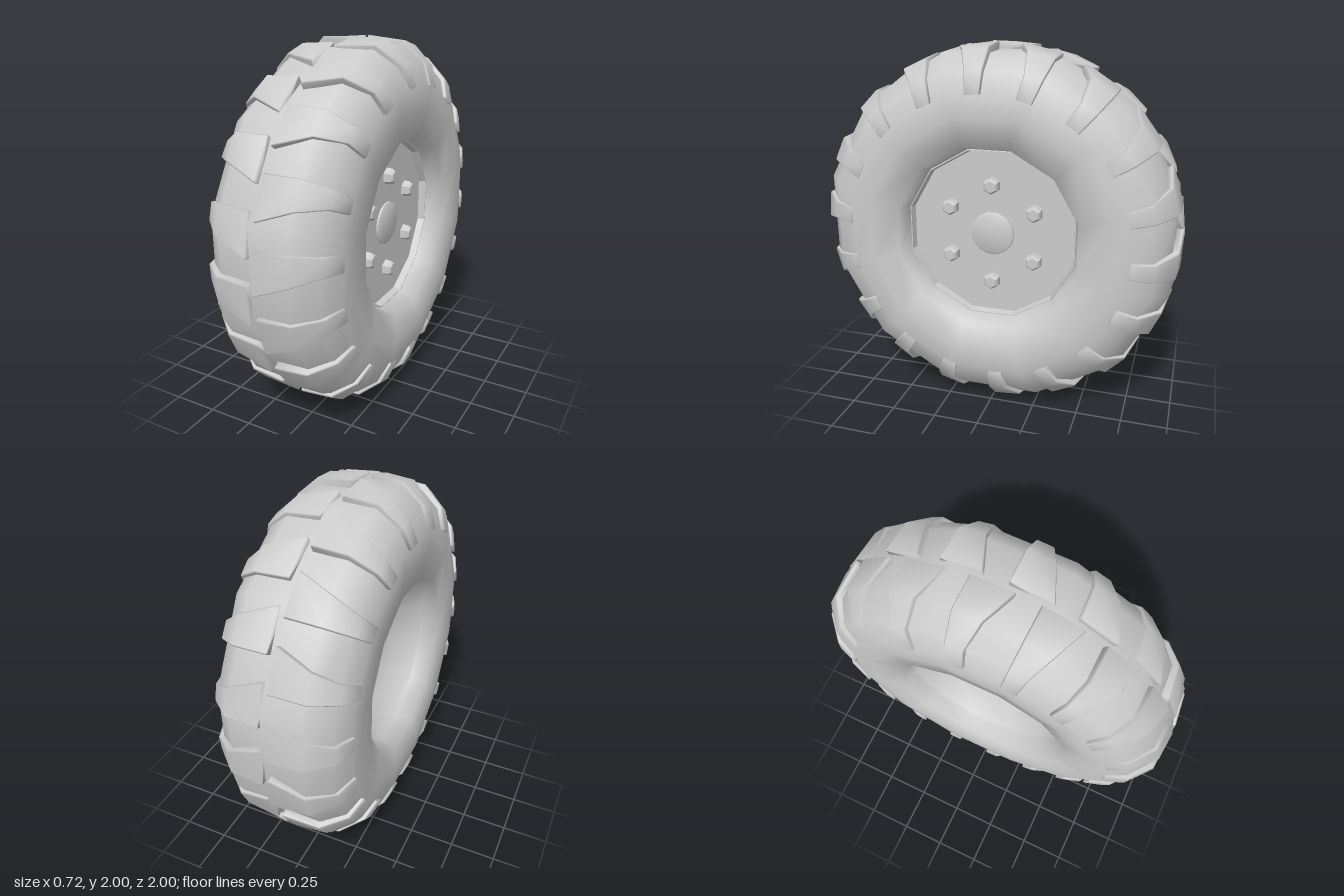
import * as THREE from 'three';
import { toCreasedNormals } from 'three/addons/utils/BufferGeometryUtils.js';

const RAD = Math.PI / 180;
const grey = new THREE.MeshStandardMaterial({ color: 0xcccccc });

// Turned part around the x axis; profile points are [x, radius]
function turned(name, profile, sides, phase, crease) {
  const points = profile.map(([x, r]) => new THREE.Vector2(r, x));
  let geometry = new THREE.LatheGeometry(points, sides, phase);
  geometry.rotateZ(-Math.PI / 2);
  if (crease) geometry = toCreasedNormals(geometry, crease);
  const mesh = new THREE.Mesh(geometry, grey);
  mesh.name = name;
  return mesh;
}

// Lug sections from tread centre to sidewall:
// x, radius, surface normal (x, radial), start and end angle in degrees
const LUG = [
  { x: 0.018, r: 1.0, nx: 0.03, nr: 1, a0: -3.7, a1: 9.2 },
  { x: 0.2, r: 0.985, nx: 0.4, nr: 0.92, a0: 0.5, a1: 9.4 },
  { x: 0.32, r: 0.88, nx: 0.87, nr: 0.5, a0: 2.9, a1: 9.3 },
  { x: 0.362, r: 0.765, nx: 1, nr: 0.1, a0: 2.7, a1: 8.9 },
];

function lugGeometry(side) {
  const positions = [];
  const index = [];
  const N = 6;
  for (const s of LUG) {
    // base, bevel, top, top, bevel, base
    const section = [
      [s.a0, 0.06], [s.a0, 0.008], [s.a0 + 0.4, 0],
      [s.a1 - 0.4, 0], [s.a1, 0.008], [s.a1, 0.06],
    ];
    for (const [angle, depth] of section) {
      const r = s.r - s.nr * depth;
      // keep the inner end wall flat beside the centre groove
      const x = s === LUG[0] ? s.x : s.x - s.nx * depth;
      positions.push(side * x, r * Math.sin(angle * RAD), r * Math.cos(angle * RAD));
    }
  }
  const tri = (a, b, c) => (side > 0 ? index.push(a, b, c) : index.push(a, c, b));
  for (let i = 0; i < LUG.length - 1; i++) {
    for (let j = 0; j < N - 1; j++) {
      const p = i * N + j;
      tri(p, p + N, p + N + 1);
      tri(p, p + N + 1, p + 1);
    }
  }
  // end walls
  const last = (LUG.length - 1) * N;
  for (let j = 1; j < N - 1; j++) {
    tri(0, j, j + 1);
    tri(last, last + j + 1, last + j);
  }
  const geometry = new THREE.BufferGeometry();
  geometry.setAttribute('position', new THREE.Float32BufferAttribute(positions, 3));
  geometry.setIndex(index);
  geometry.computeVertexNormals();
  return geometry;
}

export function createModel() {
  const model = new THREE.Group();
  model.name = 'wheel';
  const wheel = new THREE.Group();
  wheel.name = 'wheelAssembly';
  wheel.position.y = 1;
  model.add(wheel);

  // Twelve-sided tyre and rim: radii are measured to the flats
  const toCorner = 1 / Math.cos(15 * RAD);
  const flats = (list) => list.map(([x, r]) => [x, r * toCorner]);
  const half = [
    [0.22, 0.462], [0.328, 0.49], [0.353, 0.64],
    [0.347, 0.75], [0.297, 0.866], [0.19, 0.95],
  ];
  const tyre = [
    ...half.map(([x, r]) => [-x, r]),
    [0, 0.957],
    ...half.slice().reverse(),
  ];
  wheel.add(turned('tyre', flats(tyre), 12, 15 * RAD));

  // Rim disc with a raised lip on the outside, bowl on the inside
  wheel.add(turned('rimDisc',
    flats([[0.2, 0.468], [0.235, 0.461], [0.235, 0.456], [0.195, 0.448], [0.195, 0]]), 12, 15 * RAD, 0.4));
  wheel.add(turned('rimBack',
    flats([[-0.02, 0], [-0.03, 0.2], [-0.1, 0.37], [-0.21, 0.45], [-0.235, 0.464]]), 12, 15 * RAD));

  // Hub cap and wheel bolts
  wheel.add(turned('hubCap',
    [[0.185, 0.122], [0.205, 0.12], [0.213, 0.105], [0.215, 0]], 14, 0, 0.9));
  for (let i = 0; i < 6; i++) {
    const angle = (30 + i * 60) * RAD;
    const bolt = turned('wheelBolt',
      [[0.185, 0.048], [0.23, 0.044], [0.245, 0.032], [0.245, 0]], 6, 90 * RAD, 0.3);
    bolt.position.set(0, 0.27 * Math.sin(angle), 0.27 * Math.cos(angle));
    wheel.add(bolt);
  }

  // Two mirrored rows of tread lugs, staggered by half a step
  for (const side of [1, -1]) {
    const row = new THREE.Group();
    row.name = side > 0 ? 'leftTreadLugs' : 'rightTreadLugs';
    const geometry = lugGeometry(side);
    for (let i = 0; i < 18; i++) {
      const lug = new THREE.Mesh(geometry, grey);
      lug.name = 'treadLug';
      lug.rotation.x = (i * 20 + (side > 0 ? 0 : 10)) * RAD;
      row.add(lug);
    }
    wheel.add(row);
  }
  return model;
}
